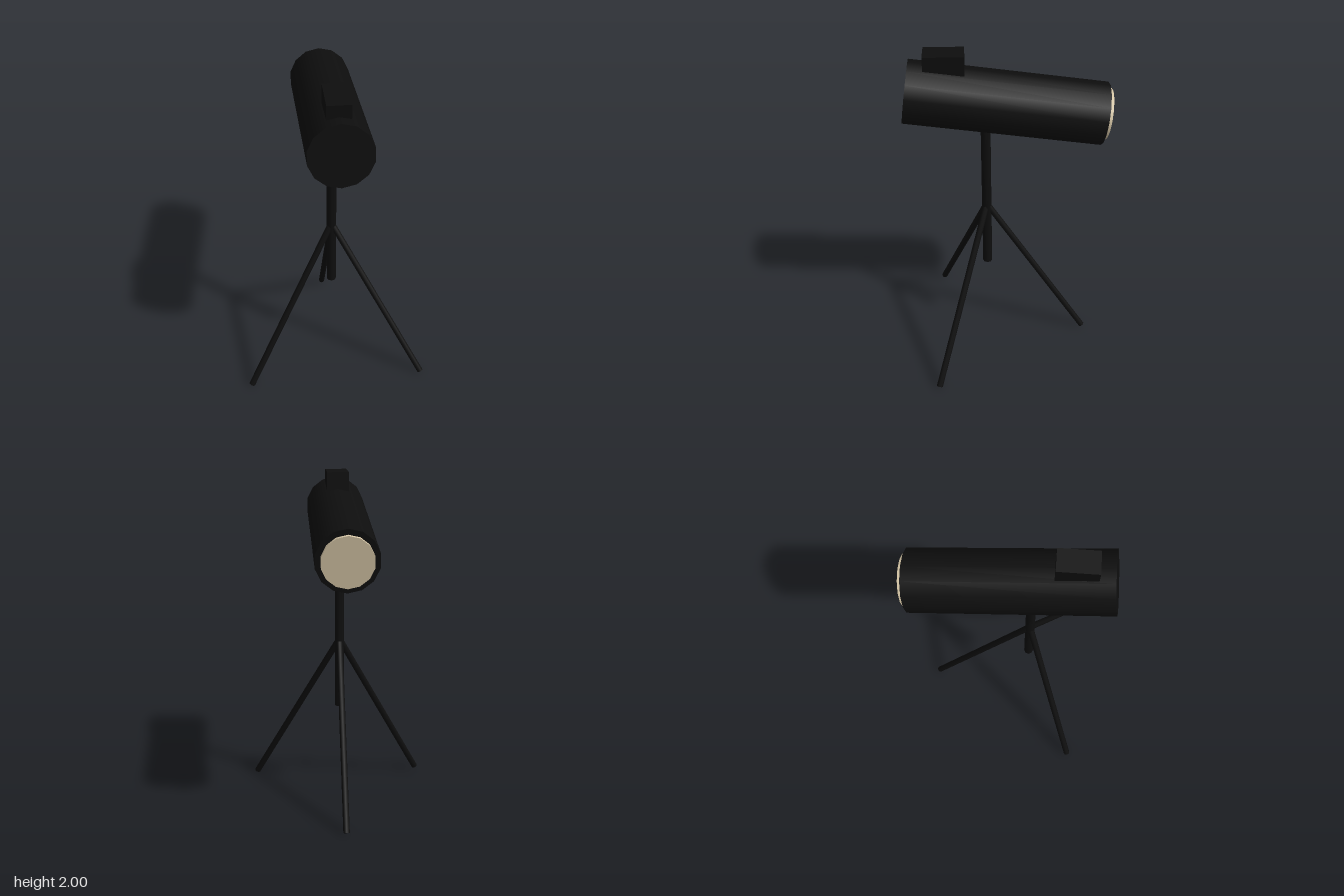
import * as THREE from 'three';

const black = new THREE.MeshStandardMaterial({ color: 0x0e0e0e });
black.name = 'matte black';
const cream = new THREE.MeshStandardMaterial({ color: 0xd8c8a8 });
cream.name = 'cream lens';

const POST_Z = 0.123;

function add(parent, name, geometry, material) {
  const mesh = new THREE.Mesh(geometry, material);
  mesh.name = name;
  parent.add(mesh);
  return mesh;
}

// Cylinder running between two points
function rod(parent, name, from, to, radius, sides) {
  const dir = to.clone().sub(from);
  const mesh = add(parent, name, new THREE.CylinderGeometry(radius, radius, dir.length(), sides), black);
  mesh.position.copy(from).add(to).multiplyScalar(0.5);
  mesh.quaternion.setFromUnitVectors(new THREE.Vector3(0, 1, 0), dir.normalize());
  return mesh;
}

export function createModel() {
  const model = new THREE.Group();
  model.name = 'telescope on tripod';

  // Tilted optical tube, with its raised end towards the front
  const tube = new THREE.Group();
  tube.name = 'opticalTube';
  tube.position.set(0, 1.69, 0.009);
  tube.rotation.x = Math.PI / 2 - 0.14;
  model.add(tube);
  add(tube, 'tubeBody', new THREE.CylinderGeometry(0.178, 0.178, 1.118, 14), black);

  // Lens disc standing slightly proud of the rear end
  const lens = add(tube, 'lens', new THREE.CylinderGeometry(0.146, 0.146, 0.05, 14), cream);
  lens.position.y = -0.556;

  // Finder block on top
  const finder = add(model, 'finderBlock', new THREE.BoxGeometry(0.13, 0.2, 0.224), black);
  finder.position.set(0, 1.9, 0.344);

  // Centre post
  rod(model, 'centrePost', new THREE.Vector3(0, 0.575, POST_Z), new THREE.Vector3(0, 1.53, POST_Z), 0.028, 8);

  // Three splayed legs, one pointing straight back
  for (let i = 0; i < 3; i++) {
    const a = Math.PI + (i * 2 * Math.PI) / 3;
    const foot = new THREE.Vector3(Math.sin(a) * 0.612, 0.01, POST_Z + Math.cos(a) * 0.612);
    rod(model, 'leg' + (i + 1), new THREE.Vector3(0, 1.005, POST_Z), foot, 0.019, 8);
  }
  return model;
}
